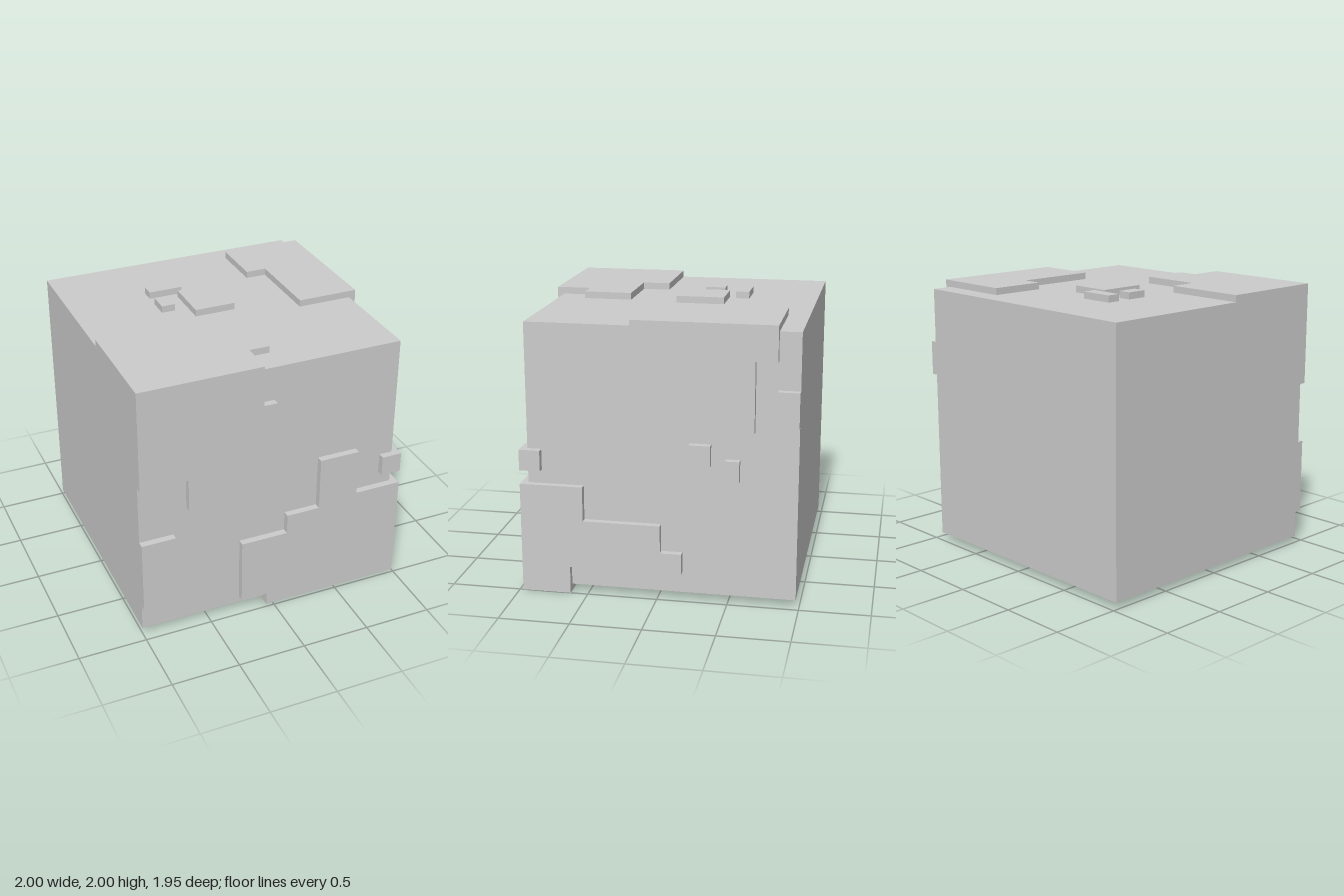
import * as THREE from 'three';

const T = 0.05; // thickness of every raised patch

export function createModel() {
  const group = new THREE.Group();
  const material = new THREE.MeshStandardMaterial({ color: 0xcccccc, flatShading: true });

  const add = (name, geometry) => {
    const mesh = new THREE.Mesh(geometry, material);
    mesh.name = name;
    group.add(mesh);
  };
  const box = (name, x0, x1, y0, y1, z0, z1) => add(name,
    new THREE.BoxGeometry(x1 - x0, y1 - y0, z1 - z0)
      .translate((x0 + x1) / 2, (y0 + y1) / 2, (z0 + z1) / 2));
  const slab = (points) => new THREE.ExtrudeGeometry(
    new THREE.Shape(points.map(([a, b]) => new THREE.Vector2(a, b))),
    { depth: T, bevelEnabled: false });

  // Stepped patches: front takes (x, y), side takes (z, y), level takes (x, z)
  const front = (name, pts) => add(name, slab(pts).translate(0, 0, 0.925));
  const side = (name, pts) => add(name,
    slab(pts.map(([z, y]) => [-z, y])).rotateY(Math.PI / 2).translate(0.95, 0, 0));
  const level = (name, y, pts) => add(name,
    slab(pts.map(([x, z]) => [x, -z])).rotateX(-Math.PI / 2).translate(0, y, 0));

  // Main block
  box('core', -1, 0.95, 0.05, 1.95, -0.975, 0.925);

  // Front patches
  front('frontUpperPatch', [[-1, 2], [-0.1, 2], [-0.1, 1.7], [0, 1.7], [0, 1.35], [-0.3, 1.35],
    [-0.3, 1], [-0.65, 1], [-0.65, 1.25], [-1, 1.25]]);
  front('frontLowerPatch', [[-0.25, 0.6], [0.1, 0.6], [0.1, 0.75], [0.35, 0.75], [0.35, 1.15],
    [0.65, 1.15], [0.65, 0.8], [1, 0.8], [1, 0], [-0.05, 0], [-0.05, 0.1], [-0.25, 0.1]]);
  box('frontPlate', -1, -0.75, 0.25, 0.8, 0.925, 0.975);
  box('cornerCube', 0.85, 1, 0.9, 1.05, 0.825, 0.975);

  // Side patches (+x)
  side('sideUpperPatch', [[0.175, 2], [0.175, 1.45], [0.025, 1.45], [0.025, 1.25],
    [-0.675, 1.25], [-0.675, 1.75], [-0.825, 1.75], [-0.825, 2]]);
  side('sideLowerPatch', [[0.925, 0.8], [0.525, 0.8], [0.525, 0.55], [-0.025, 0.55],
    [-0.025, 0.35], [-0.175, 0.35], [-0.175, 0.2], [0.625, 0.2], [0.625, 0], [0.925, 0]]);
  for (const [y0, y1, z0, z1] of [
    [1.3, 1.55, -0.975, -0.825], [1, 1.15, -0.375, -0.225], [0.9, 1.05, -0.575, -0.475],
  ]) box('sidePlate', 0.95, 1, y0, y1, z0, z1);

  // Top patches
  level('topFrontPatch', 1.95, [[-1, 0.175], [-0.4, 0.175], [-0.4, 0.375], [0.05, 0.375],
    [0.05, 0.725], [-0.1, 0.725], [-0.1, 0.925], [-1, 0.925]]);
  level('topSidePatch', 1.95, [[0.4, -0.825], [0.95, -0.825], [0.95, 0.175], [0.55, 0.175],
    [0.55, -0.425], [0.4, -0.425]]);
  for (const [x0, x1, z0, z1] of [
    [-0.4, -0.15, -0.475, -0.375], [-0.4, -0.3, -0.275, -0.125], [-0.2, 0.1, -0.325, 0.025],
  ]) box('topPlate', x0, x1, 1.95, 2, z0, z1);

  // Underside patch
  level('bottomPatch', 0, [[-0.2, 0.625], [0.95, 0.625], [0.95, 0.925], [-0.05, 0.925],
    [-0.05, 0.875], [-0.2, 0.875]]);

  return group;
}
